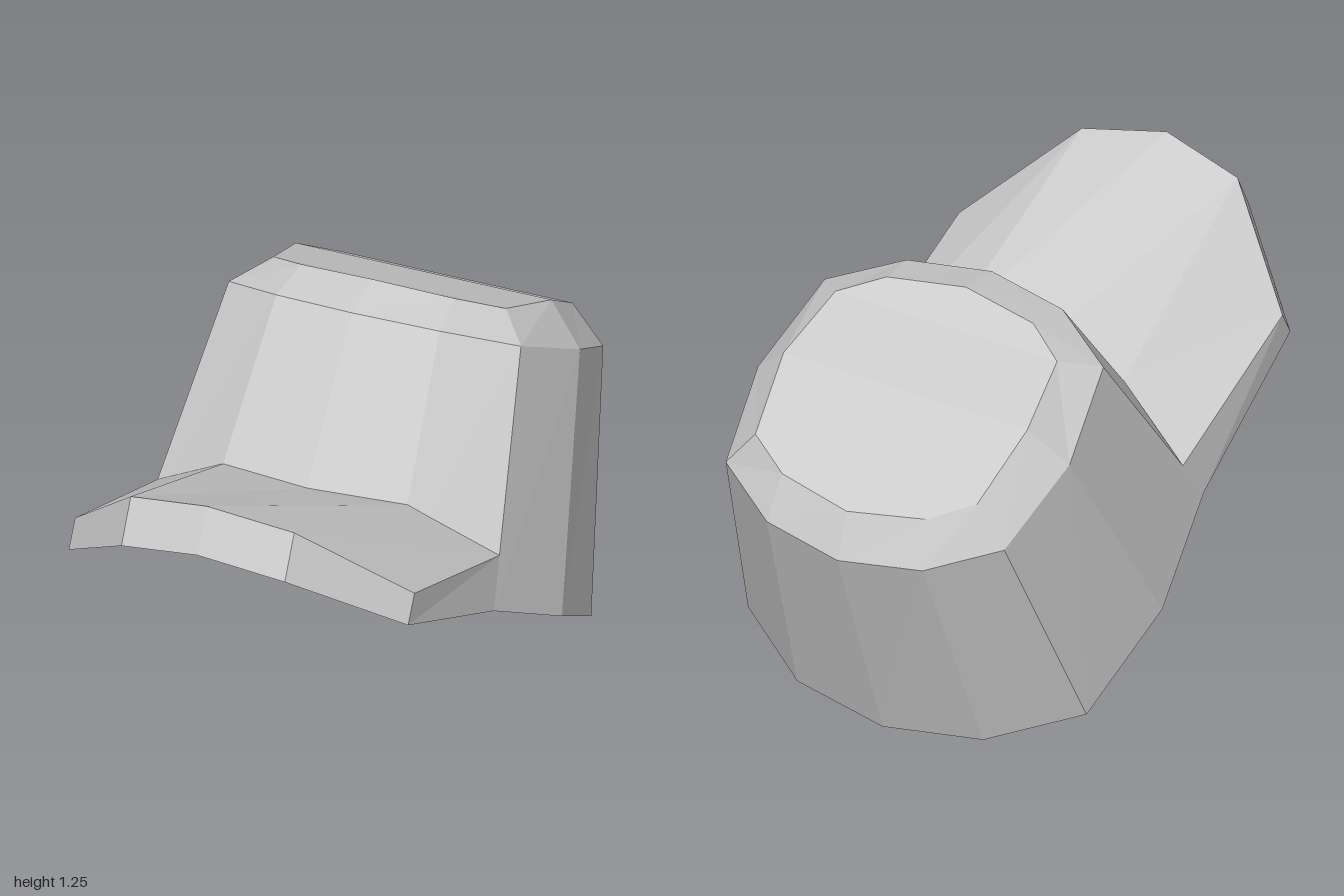
import * as THREE from 'three';

const material = new THREE.MeshStandardMaterial({ color: 0xcccccc, flatShading: true });
const v = ([x, y, z]) => new THREE.Vector3(x, y, z);
const flip = (p) => new THREE.Vector3(-p.x, p.y, p.z);

// Closed 12-point ring from 7 points running front centre -> left side -> back centre
const ring = (half) => [...half, ...half.slice(1, -1).reverse().map(flip)];
// Open row from -x to +x, from points running centre -> left side
const row = (half) => [...half.slice(1).reverse().map(flip), ...half];

// Triangles between two equally long rows of points
function strip(low, high, closed = false) {
  const tris = [], n = low.length;
  for (let i = 0; i < (closed ? n : n - 1); i++) {
    const j = (i + 1) % n;
    tris.push([low[i], low[j], high[j]], [low[i], high[j], high[i]]);
  }
  return tris.filter((t) => new THREE.Triangle(...t).getArea() > 1e-6);
}

// Upward-facing lid across a mirrored ring
const lid = (half) => strip(half, half.map(flip));

function part(name, ...lists) {
  const geometry = new THREE.BufferGeometry().setFromPoints(lists.flat(2));
  geometry.computeVertexNormals();
  const mesh = new THREE.Mesh(geometry, material);
  mesh.name = name;
  return mesh;
}

export function createModel() {
  const group = new THREE.Group();
  group.name = 'cap';

  // Half outlines, front centre to back centre
  const base = [[0, 0.61, 0.37], [0.31, 0.575, 0.315], [0.565, 0.485, 0.16], [0.625, 0.3, -0.19],
    [0.565, 0.11, -0.53], [0.31, 0.03, -0.69], [0, 0, -0.735]].map(v);
  const shoulder = [[0, 1.217, -0.093], [0.26, 1.195, -0.135], [0.465, 1.13, -0.255], [0.52, 0.98, -0.55],
    [0.465, 0.83, -0.837], [0.26, 0.76, -0.957], [0, 0.735, -1]].map(v);
  const top = [[0, 1.25, -0.245], [0.245, 1.225, -0.28], [0.37, 1.18, -0.36], [0.407, 1.093, -0.6],
    [0.37, 0.955, -0.83], [0.24, 0.9, -0.9], [0, 0.875, -0.945]].map(v);
  const opening = [[0, 0.543, 0.24], [0.27, 0.52, 0.2], [0.47, 0.457, 0.085], [0.52, 0.3, -0.2],
    [0.47, 0.14, -0.49], [0.27, 0.08, -0.6], [0, 0.055, -0.645]].map(v);
  const ceiling = opening.map((p) => p.clone().add(new THREE.Vector3(0, 0.175, -0.09)));

  // Crown wall, bevelled shoulder and top panel
  group.add(part('crown', strip(ring(base), ring(shoulder), true)));
  group.add(part('crownTop', strip(ring(shoulder), ring(top), true), lid(top)));

  // Bottom band and shallow hollow inside
  group.add(part('bottomBand', strip(ring(opening), ring(base), true)));
  group.add(part('innerHollow', strip(ring(ceiling), ring(opening), true),
    lid(ceiling).map((t) => [...t].reverse())));

  // Brim: its seam lies on the front crown edges
  const seam = [0.31, 0.33, 0.21].map((t, i) => base[i].clone().lerp(shoulder[i], t));
  const upper = [...[[0, 1.105, 0.935], [0.26, 1.055, 0.893], [0.54, 0.8, 0.665]].map(v), seam[2]];
  const lower = [...[[0, 0.975, 1], [0.26, 0.925, 0.96], [0.54, 0.717, 0.71]].map(v), base[2]];
  const repeatEnd = (points) => row([...points.slice(0, 3), points[2]]);
  group.add(part('brim',
    strip(row(upper), repeatEnd(seam)),
    strip(row(lower), row(upper)),
    strip(repeatEnd(base), row(lower))));

  return group;
}
